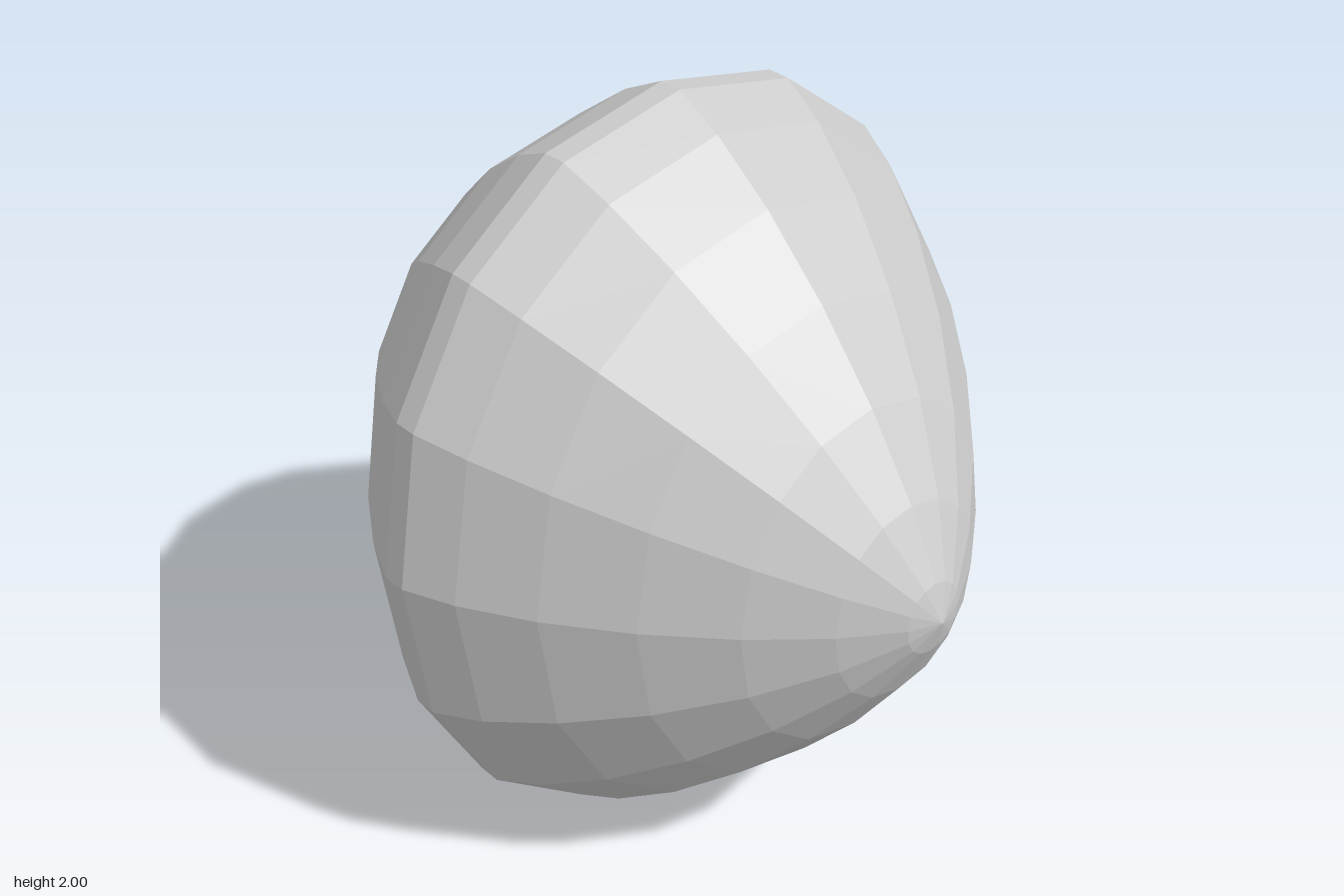
import * as THREE from 'three';

// signed power used by the superellipsoid
const spow = (v, e) => Math.sign(v) * Math.pow(Math.abs(v), e);

export function createModel() {
  const group = new THREE.Group();
  group.name = 'facetedGem';

  // sphere grid with its poles turned to the front and back
  const geo = new THREE.SphereGeometry(1, 16, 15);
  geo.rotateX(Math.PI / 2);

  // pinch the profile toward the poles and square the rim very slightly
  const rim = Math.pow(Math.cos(Math.PI / 30), 1.5);
  const pos = geo.attributes.position;
  for (let i = 0; i < pos.count; i++) {
    const x = pos.getX(i), y = pos.getY(i), z = pos.getZ(i);
    const a = Math.atan2(y, x);
    const r = Math.pow(Math.hypot(x, y), 1.5) / rim;
    pos.setXYZ(i,
      0.85 * r * spow(Math.cos(a), 0.95),
      1 + r * spow(Math.sin(a), 0.95),
      0.94 * spow(z, 1.5));
  }
  geo.computeVertexNormals();

  const body = new THREE.Mesh(geo,
    new THREE.MeshStandardMaterial({ color: 0xcccccc, flatShading: true }));
  body.name = 'body';
  group.add(body);
  return group;
}
